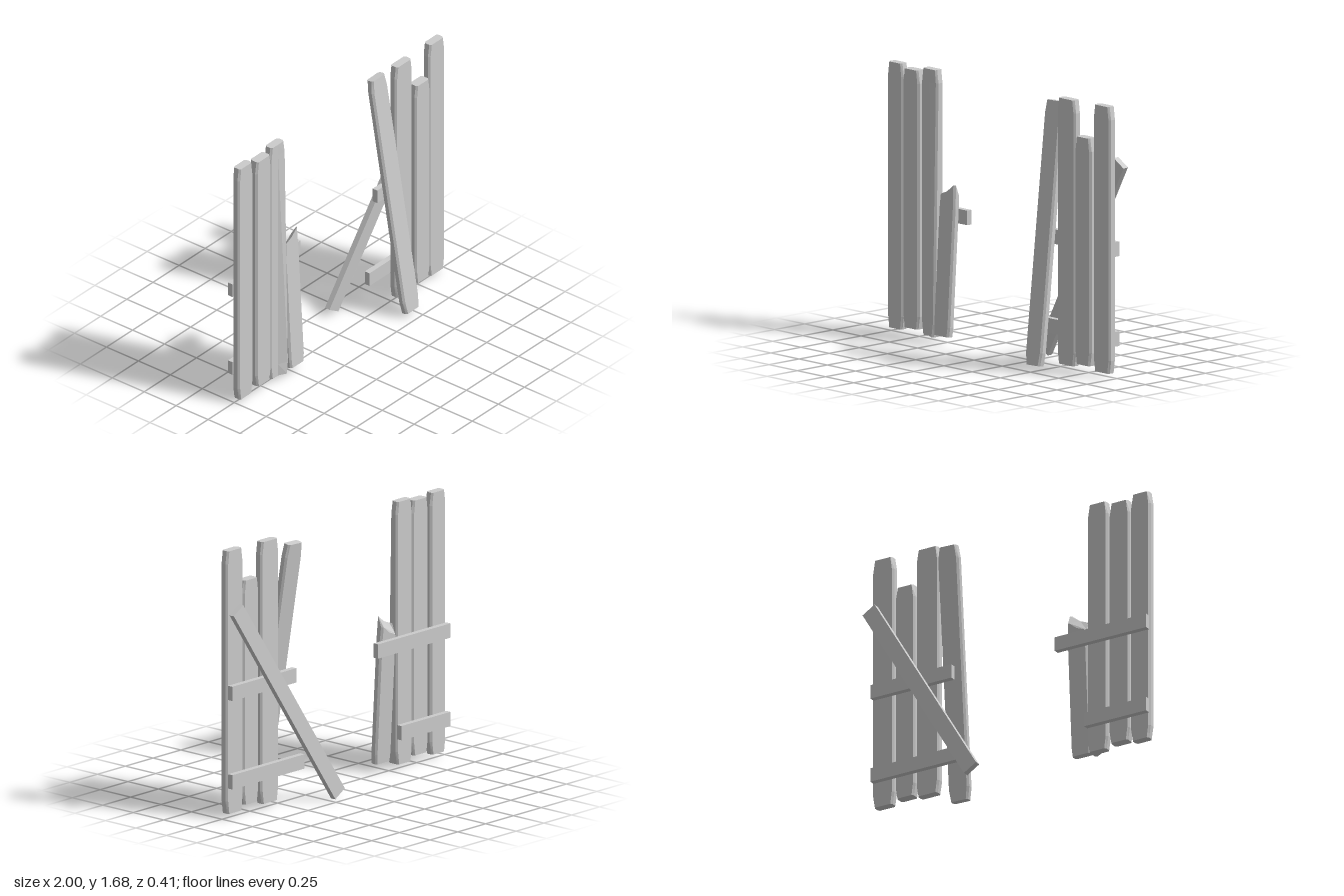
import * as THREE from 'three';

const material = new THREE.MeshStandardMaterial({ color: 0xcccccc, flatShading: true, side: THREE.DoubleSide });
const V = (x, y, z) => new THREE.Vector3(x, y, z);

// Board standing on a base point and reaching to a top point; width across, depth front to back.
// chamfer bevels the long edges, taper narrows both ends, reshape(p, length) bends single boards.
function board(name, base, top, width, depth, { chamfer = 0, taper = 0, endLength = 0.08, reshape } = {}) {
  const w = width / 2, d = depth / 2, c = chamfer;
  const outline = c
    ? [[-w + c, -d], [0, -d], [w - c, -d], [w, -d + c], [w, d - c], [w - c, d], [0, d], [-w + c, d], [-w, d - c], [-w, -d + c]]
    : [[-w, -d], [w, -d], [w, d], [-w, d]];
  const section = new THREE.Shape(outline.map(([x, z]) => new THREE.Vector2(x, -z)));
  const length = base.distanceTo(top);
  const geometry = new THREE.ExtrudeGeometry(section, { depth: 3, steps: 3, bevelEnabled: false });
  geometry.rotateX(-Math.PI / 2);

  // Move the four rings to their heights and narrow the end rings
  const heights = [0, endLength, length - endLength, length];
  const pos = geometry.attributes.position, p = V(0, 0, 0);
  for (let i = 0; i < pos.count; i++) {
    p.fromBufferAttribute(pos, i);
    const ring = Math.round(p.y);
    if (ring === 0 || ring === 3) p.x *= 1 - 2 * taper / width;
    p.y = heights[ring];
    if (reshape) reshape(p, length);
    pos.setXYZ(i, p.x, p.y, p.z);
  }
  geometry.computeVertexNormals();

  const mesh = new THREE.Mesh(geometry, material);
  const up = top.clone().sub(base).normalize();
  const side = V(0, 0, 1).cross(up).negate().cross(V(0, 0, 1));
  const across = up.clone().cross(V(0, 0, 1)).normalize();
  const front = across.clone().cross(up).normalize();
  mesh.quaternion.setFromRotationMatrix(new THREE.Matrix4().makeBasis(across, up, front));
  mesh.position.copy(base);
  mesh.name = name;
  return mesh;
}

export function createModel() {
  const model = new THREE.Group();
  model.name = 'brokenFence';
  const rightSection = new THREE.Group(), leftSection = new THREE.Group();
  rightSection.name = 'rightSection';
  leftSection.name = 'leftSection';
  model.add(rightSection, leftSection);

  const worn = { chamfer: 0.012, taper: 0.013 };

  // The lower corner of one board is warped forward
  const warp = (p, length) => {
    if (p.x > 0 && p.z > 0) p.z += 0.028 * Math.max(0, 1 - p.y / length);
  };

  // Upright boards: section, x from, x to, bottom, top, centre z, depth
  const uprights = [
    [rightSection, -1.0, -0.86, 0.03, 1.675, 0.01, 0.054],
    [rightSection, -0.848, -0.703, 0.055, 1.657, 0.02, 0.062],
    [rightSection, -0.698, -0.552, 0.03, 1.68, 0.01, 0.054, warp],
    [leftSection, 0.503, 0.665, 0.03, 1.675, 0.01, 0.054],
    [leftSection, 0.676, 0.818, 0.055, 1.463, 0.02, 0.062],
    [leftSection, 0.823, 0.975, 0.03, 1.68, 0.01, 0.054],
  ];
  uprights.forEach(([group, x0, x1, y0, y1, z, depth, reshape], i) => {
    const x = (x0 + x1) / 2;
    group.add(board('upright' + (i + 1), V(x, y0, z), V(x, y1, z), x1 - x0, depth, { ...worn, reshape }));
  });

  // Snapped board with a slanting, splintered top
  rightSection.add(board('brokenBoard', V(-0.482, 0.053, 0.052), V(-0.48, 0.93, 0.0), 0.14, 0.05, {
    chamfer: 0.012, taper: 0.006, endLength: 0.06,
    reshape: (p, length) => {
      if (p.y < length - 0.1) return;
      const end = p.y > length - 0.01;
      p.y += end ? (p.x > 0.02 ? 0.055 : p.x < -0.02 ? -0.01 : 0.012) : -0.03;
      if (end && p.z < 0) p.y -= 0.06;
    },
  }));

  // Loose board leaning back against the fence
  leftSection.add(board('leaningBoard', V(0.465, 0.03, 0.18), V(0.411, 1.63, -0.045), 0.145, 0.05, worn));

  // Horizontal rails behind the uprights: section, x from, x to, centre y
  const rails = [
    [rightSection, -0.995, -0.345, 0.793],
    [rightSection, -0.995, -0.555, 0.237],
    [leftSection, 0.39, 0.965, 0.793],
    [leftSection, 0.315, 0.965, 0.237],
  ];
  rails.forEach(([group, x0, x1, y], i) => {
    const rail = new THREE.Mesh(new THREE.BoxGeometry(x1 - x0, 0.09, 0.036), material);
    rail.position.set((x0 + x1) / 2, y, -0.035);
    rail.name = 'rail' + (i + 1);
    group.add(rail);
  });

  // Diagonal brace fallen away at its foot
  leftSection.add(board('diagonalBrace', V(0.163, 0.03, -0.188), V(0.953, 1.32, -0.076), 0.1, 0.036));

  return model;
}
